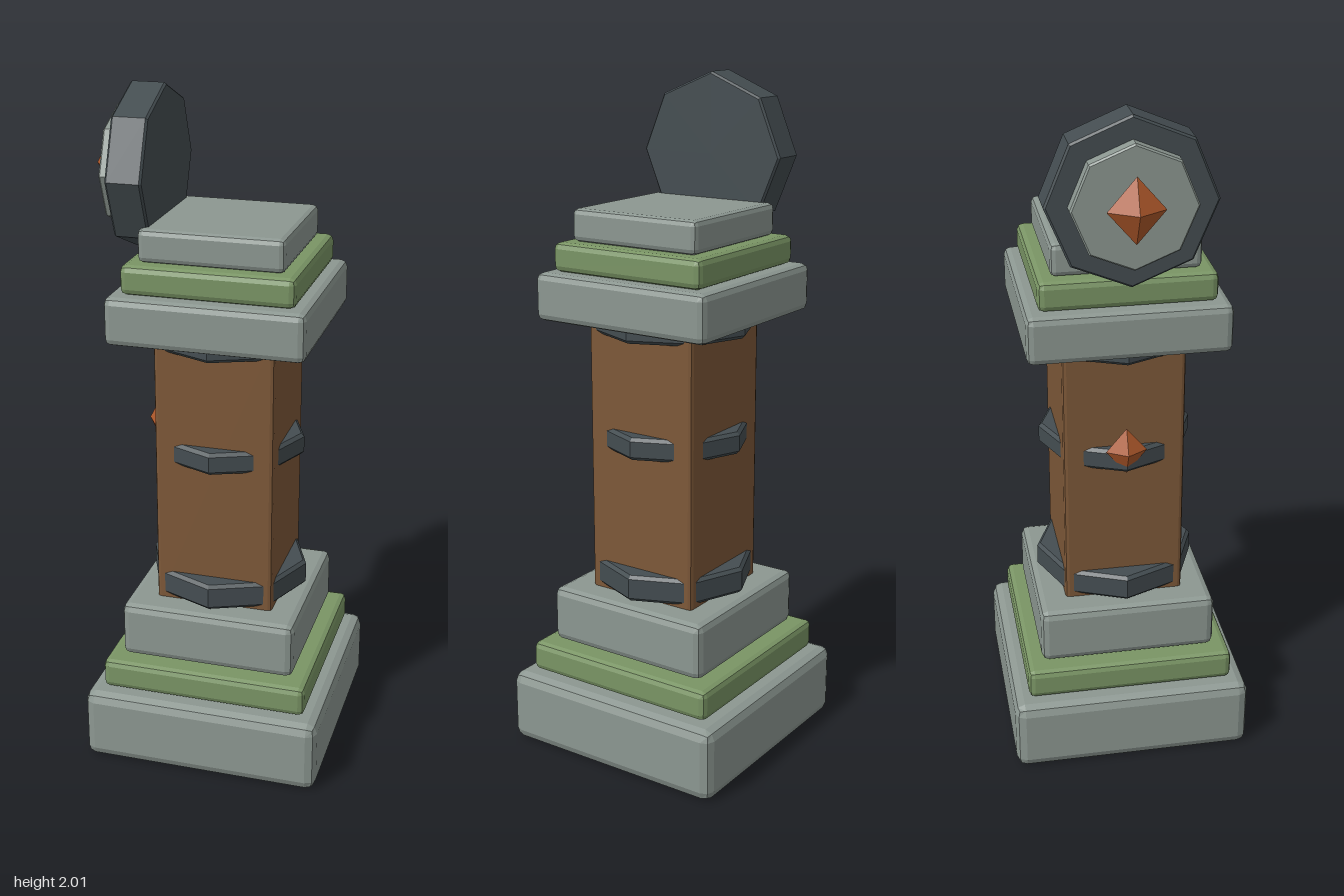
import * as THREE from 'three';
import { RoundedBoxGeometry } from 'three/addons/geometries/RoundedBoxGeometry.js';

const CX = 0.015; // pillar axis, offset by the emblem on the -x side

const paint = (color) => new THREE.MeshStandardMaterial({ color, flatShading: true });
const stone = paint(0x8c9791);
const moss = paint(0x7a9565);
const wood = paint(0x7d5838);
const iron = paint(0x444d51);
const copper = paint(0xb0592b);

export function createModel() {
  const model = new THREE.Group();

  const add = (name, geometry, material, x, y) => {
    const mesh = new THREE.Mesh(geometry, material);
    mesh.name = name;
    mesh.position.set(x, y, 0);
    model.add(mesh);
    return mesh;
  };

  // Square block with bevelled edges, from y0 to y1
  const block = (name, width, y0, y1, bevel, material) =>
    add(name, new RoundedBoxGeometry(width, y1 - y0, width, 1, bevel), material, CX, (y0 + y1) / 2);

  // Eight-sided disc with small bevels, centred on its own axis
  const octagon = (radius, height, bevel) => {
    const h = height / 2;
    const profile = [
      [0, -h], [radius - bevel, -h], [radius, -h + bevel],
      [radius, h - bevel], [radius - bevel, h], [0, h],
    ].map(([x, y]) => new THREE.Vector2(x, y));
    return new THREE.LatheGeometry(profile, 8);
  };

  const gem = (name, x, y, sx, sy, sz) =>
    add(name, new THREE.OctahedronGeometry(1).scale(sx, sy, sz), copper, x, y);

  // Stepped base
  block('baseSlab', 0.72, 0, 0.22, 0.03, stone);
  block('baseMossLayer', 0.625, 0.225, 0.315, 0.018, moss);
  block('basePlinth', 0.53, 0.32, 0.49, 0.022, stone);

  // Wooden shaft
  block('shaft', 0.357, 0.48, 1.34, 0.012, wood);

  // Iron bands around the shaft
  for (const [name, radius, y0, y1] of [
    ['lowerBand', 0.242, 0.5, 0.58],
    ['middleBand', 0.228, 0.933, 1.0],
    ['upperBand', 0.242, 1.28, 1.36],
  ]) {
    add(name, octagon(radius, y1 - y0, 0.01), iron, CX, (y0 + y1) / 2);
  }

  // Stepped capital
  block('capitalSlab', 0.575, 1.32, 1.46, 0.02, stone);
  block('capitalMossLayer', 0.5, 1.46, 1.545, 0.018, moss);
  block('capitalTop', 0.42, 1.545, 1.64, 0.016, stone);

  // Upright emblem on the side: iron disc, stone disc and pointed gem
  add('emblemDisc', octagon(0.235, 0.105, 0.006), iron, -0.2225, 1.77).rotation.z = Math.PI / 2;
  add('emblemPlate', octagon(0.172, 0.06, 0.005), stone, -0.285, 1.77).rotation.z = Math.PI / 2;
  gem('emblemGem', -0.333, 1.77, 0.047, 0.092, 0.079);

  // Small gem on the shaft
  gem('shaftGem', -0.2, 1.0, 0.036, 0.072, 0.06);

  return model;
}
